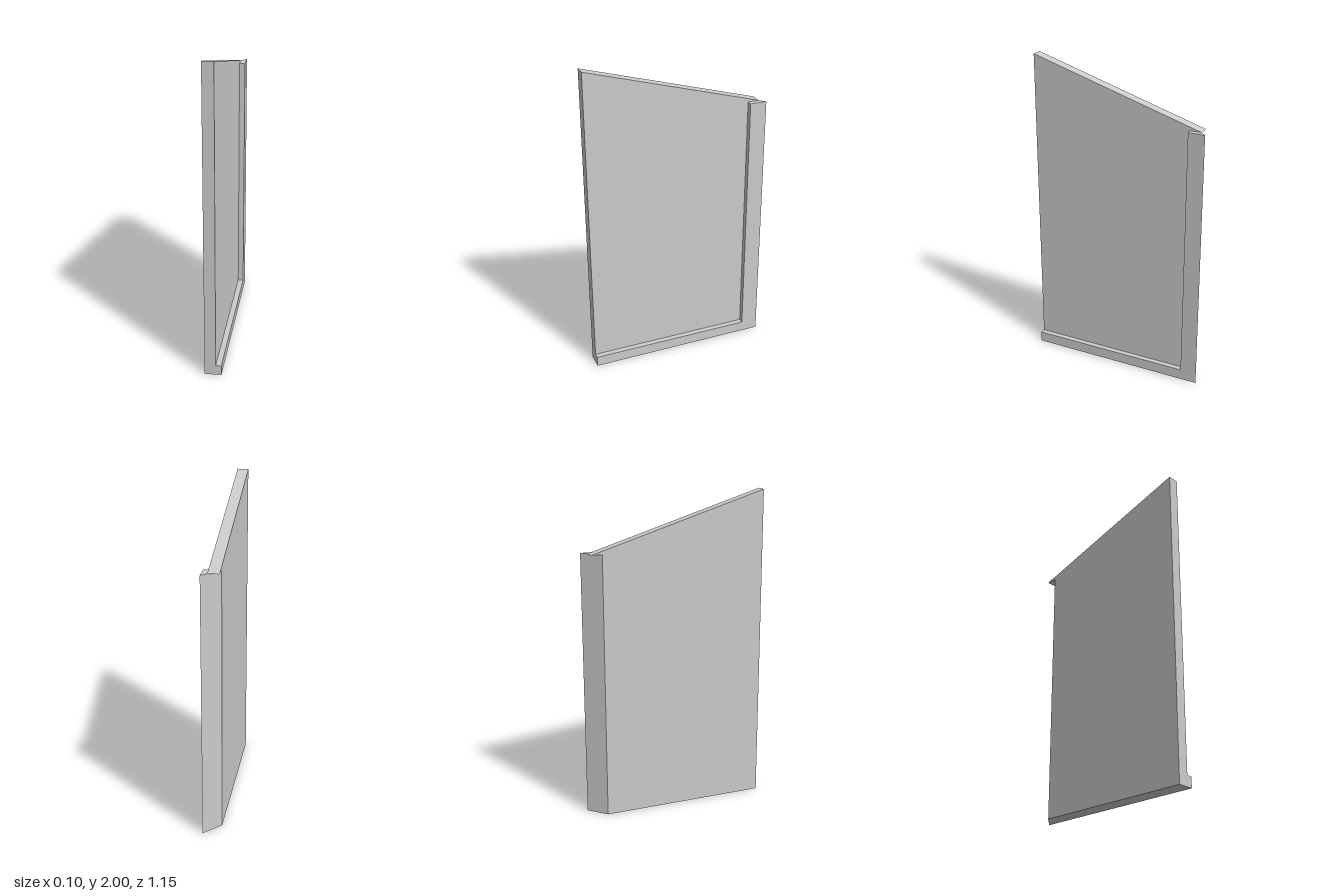
import * as THREE from 'three';

const X0 = -0.053, XM = 0.016, X1 = 0.051; // outer face, inner face, rim face
const FRONT = 0.573, BACK = -0.573, POST = -0.467;
const SHOULDER = 1.667, TOP = 2, RAIL = 0.067;

const shapeOf = (pts) => new THREE.Shape(pts.map(([a, b]) => new THREE.Vector2(a, b)));
const extrude = (pts, depth) =>
  new THREE.ExtrudeGeometry(shapeOf(pts), { depth, bevelEnabled: false });

export function createModel() {
  const group = new THREE.Group();
  const material = new THREE.MeshStandardMaterial({ color: 0xcccccc, flatShading: true });
  const add = (name, geometry) => {
    const mesh = new THREE.Mesh(geometry, material);
    mesh.name = name;
    group.add(mesh);
  };

  // Plan outlines [x, -z], extruded upward; the back end is mitred at 45 degrees
  const miter = (x) => BACK + (X1 - x);
  const upright = (pts, height) => extrude(pts, height).rotateX(-Math.PI / 2);
  add('panel', upright(
    [[X0, -FRONT], [XM, -FRONT], [XM, -miter(XM)], [X0, -miter(X0)]], SHOULDER));
  add('backPost', upright(
    [[XM, -POST], [X1, -POST], [X1, -BACK], [XM, -miter(XM)]], SHOULDER));
  add('bottomRail', upright(
    [[XM, -FRONT], [X1, -FRONT], [X1, -POST], [XM, -POST]], RAIL));

  // Sloping wedge on top, its tip overhanging the mitre; outline [z, y]
  add('slopedTop', extrude(
    [[miter(XM), SHOULDER], [FRONT, SHOULDER], [FRONT, TOP]], XM - X0)
    .rotateY(-Math.PI / 2).translate(XM, 0, 0));

  return group;
}
